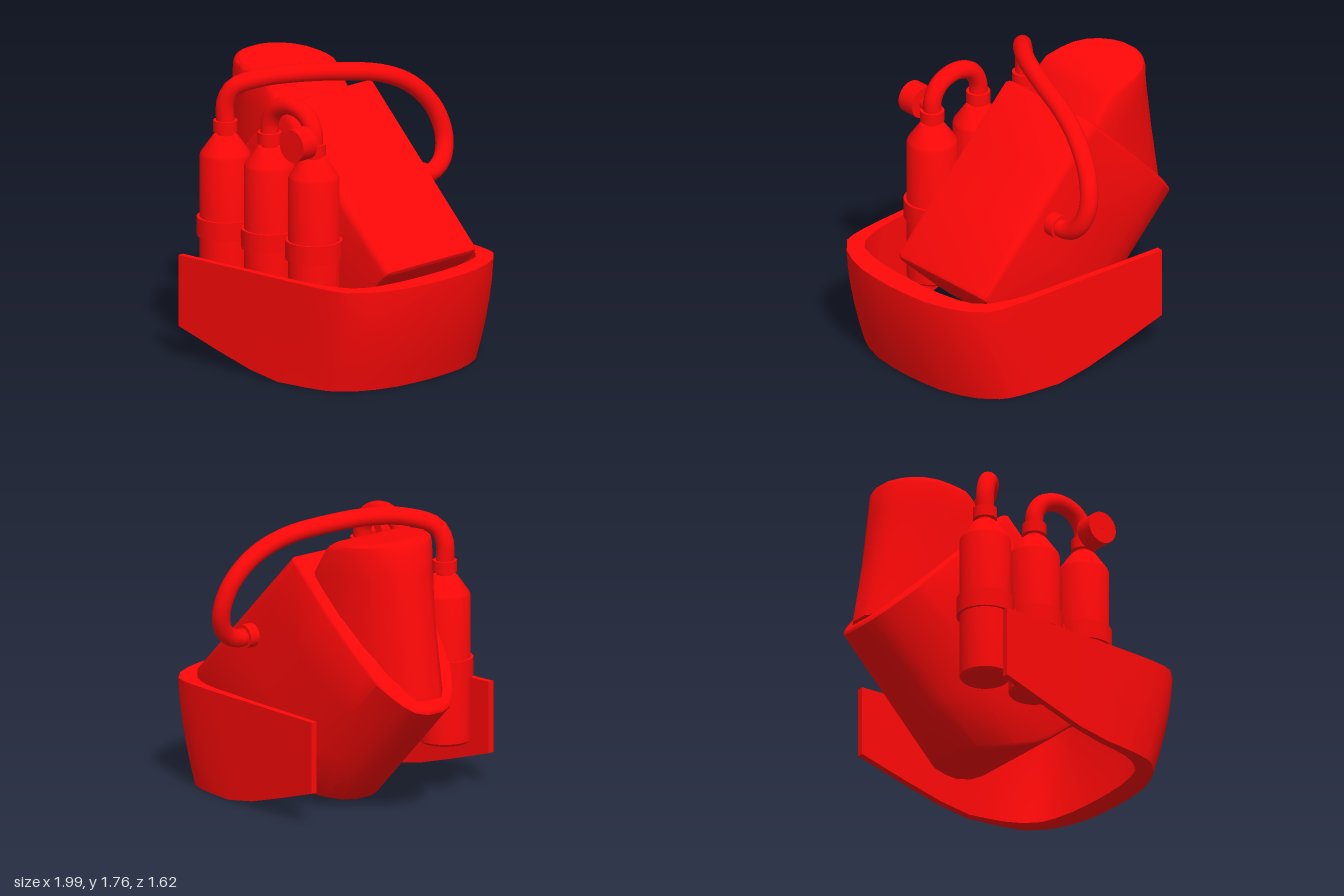
import * as THREE from 'three';
import { toCreasedNormals } from 'three/addons/utils/BufferGeometryUtils.js';

const material = new THREE.MeshStandardMaterial({ color: 0xff0808 });
const V = (x, y, z) => new THREE.Vector3(x, y, z);

// Skin a list of equal closed rings; point j of a ring faces point n-1-j, so caps are strips
function loft(rings, crease = 0.6) {
  const n = rings[0].length, last = (rings.length - 1) * n, index = [];
  const quad = (a, b, c, d) => index.push(a, b, c, a, c, d);
  for (let i = 0; i < rings.length - 1; i++) {
    for (let j = 0; j < n; j++) {
      const k = (j + 1) % n;
      quad(i * n + j, i * n + k, (i + 1) * n + k, (i + 1) * n + j);
    }
  }
  for (let j = 0; j < n / 2 - 1; j++) {
    quad(n - 1 - j, n - 2 - j, j + 1, j);
    quad(last + j, last + j + 1, last + n - 2 - j, last + n - 1 - j);
  }
  // Turn the faces outward if the enclosed volume is negative
  const pts = rings.flat();
  let volume = 0;
  for (let i = 0; i < index.length; i += 3) {
    volume += pts[index[i]].dot(pts[index[i + 1]].clone().cross(pts[index[i + 2]]));
  }
  if (volume < 0) index.reverse();
  const geo = new THREE.BufferGeometry().setFromPoints(pts);
  geo.setIndex(index);
  return toCreasedNormals(geo, crease);
}

// Mirror a half outline [t, halfWidth] into a full one, pulled in by d
function outline(half, d = 0) {
  const len = half[half.length - 1][0];
  const side = half.map(([t, w]) => [d + t * (1 - 2 * d / len), Math.max(w - d, w * 0.4)]);
  return [...side, ...side.slice().reverse().map(([t, w]) => [t, -w])];
}

export function createModel() {
  const model = new THREE.Group();
  const add = (name, geo, x = 0, y = 0, z = 0, parent = model) => {
    const mesh = new THREE.Mesh(geo, material);
    mesh.name = name;
    mesh.position.set(x, y, z);
    parent.add(mesh);
    return mesh;
  };
  const zMid = -0.07, k = Math.SQRT1_2;

  // Main body: round-ended block tilted 45 degrees, its lower end rounding into a near-level floor
  const bodyHalf = [[0, 0.06], [0.03, 0.14], [0.09, 0.2], [0.16, 0.245], [0.27, 0.3], [0.37, 0.325],
    [0.5, 0.35], [0.65, 0.366], [0.8, 0.38], [1.17, 0.392], [1.2, 0.387], [1.217, 0.372], [1.222, 0.345]];
  const bodyLength = 1.27;
  const bodyRing = ([v, d]) => outline(bodyHalf, d).map(([u, z]) => {
    const floor = 0.97 + 0.818 * u;
    const end = (bodyLength + floor - Math.hypot(bodyLength - floor, 0.16)) / 2;
    const depth = v * end / bodyLength;
    return V(-1 + (u + depth) * k, 0.7 + (u - depth) * k, zMid + z);
  });
  add('body', loft([[0, 0.025], [0.008, 0.01], [0.025, 0], [0.4, 0], [0.8, 0], [1.24, 0], [1.26, 0.008],
    [bodyLength, 0.025]].map(bodyRing)));

  // Upright pod growing out of the sloping back of the body
  const podHalf = [[0, 0.06], [0.05, 0.13], [0.15, 0.2], [0.3, 0.26], [0.5, 0.3], [0.72, 0.312],
    [0.92, 0.312], [0.97, 0.3], [1, 0.26]];
  const podRing = ([y, x0, x1, d]) => outline(podHalf).map(([t, w]) => {
    const x = x0 + d + t * (x1 - x0 - 2 * d);
    return V(x, y - 0.11 * (x + 0.79), zMid + w * (1 - d * 3));
  });
  add('pod', loft([[0.75, -0.96, 0.1, 0], [1.2, -0.88, -0.02, 0], [1.5, -0.83, -0.2, 0], [1.67, -0.802, -0.32, 0],
    [1.7, -0.797, -0.34, 0.01], [1.72, -0.79, -0.35, 0.035]].map(podRing)));

  // Wraparound bumper: [outer x, outer z, inner x, inner z, bottom y] from arm end to nose
  const stations = [[-0.52, 0.73, -0.52, 0.69, 0.2], [-0.2, 0.715, -0.2, 0.672, 0.105], [0.05, 0.7, 0.05, 0.655, 0.035],
    [0.27, 0.69, 0.25, 0.64, 0], [0.5, 0.677, 0.43, 0.625, 0], [0.63, 0.665, 0.56, 0.605, 0], [0.72, 0.65, 0.66, 0.57, 0],
    [0.79, 0.625, 0.72, 0.54, 0], [0.88, 0.53, 0.78, 0.48, 0], [0.935, 0.42, 0.815, 0.38, 0],
    [0.978, 0.28, 0.838, 0.25, 0], [0.993, 0.14, 0.848, 0.12, 0]];
  const levels = [1, 0.98, 0.8, 0.6, 0.4, 0.2, 0];
  const bumperRing = ([ox, oz, ix, iz, y0], sign) => {
    const wall = (x, z) => levels.map((f) => {
      const y = y0 + (0.64 - y0) * f;
      const lean = Math.min(Math.max((ox - 0.3) / 0.5, 0), 1) * (1 - y / 0.64) ** 1.6;
      return V(x - 0.125 * lean, y, 0.08 + sign * z * (1 - 0.04 * lean));
    });
    return [...wall(ox, oz), ...wall(ix, iz).reverse()];
  };
  add('bumper', loft([
    ...stations.map((s) => bumperRing(s, 1)),
    bumperRing([0.999, 0, 0.85, 0, 0], 1),
    ...stations.slice().reverse().map((s) => bumperRing(s, -1)),
  ]));

  // Three gas bottles with neck, cap and strap
  const tankProfile = [[0, 0.31], [0.14, 0.31], [0.154, 0.325], [0.154, 1.215], [0.147, 1.235], [0.08, 1.33],
    [0.07, 1.34], [0.045, 1.34], [0.045, 1.37], [0, 1.37]].map(([r, y]) => new THREE.Vector2(r, y));
  const tankGeo = toCreasedNormals(new THREE.LatheGeometry(tankProfile, 28), 0.5);
  const tankX = [-0.44, -0.07, 0.3], tankZ = 0.49;
  tankX.forEach((x) => {
    const tank = new THREE.Group();
    tank.name = 'tank';
    tank.position.set(x, 0, tankZ);
    model.add(tank);
    add('bottle', tankGeo, 0, 0, 0, tank);
    add('cap', new THREE.CylinderGeometry(0.073, 0.073, 0.07, 24), 0, 1.395, 0, tank);
    add('strap', new THREE.CylinderGeometry(0.172, 0.172, 0.115, 28), 0, 0.777, 0, tank);
  });
  [-0.255, 0.115].forEach((x) => add('strapLink', new THREE.BoxGeometry(0.1, 0.08, 0.08), x, 0.777, tankZ));

  // Hoses
  const hose = (name, pts, radius) => add(name, new THREE.TubeGeometry(
    new THREE.CatmullRomCurve3(pts.map((p) => V(...p))), 48, radius, 16));
  hose('longHose', [[-0.44, 1.4, 0.49], [-0.44, 1.54, 0.49], [-0.4, 1.635, 0.46], [-0.29, 1.69, 0.34],
    [-0.18, 1.705, 0.17], [-0.07, 1.685, -0.1], [0.02, 1.635, -0.38], [0.08, 1.54, -0.57], [0.13, 1.38, -0.71],
    [0.17, 1.2, -0.755], [0.2, 1.07, -0.705], [0.205, 1.01, -0.61], [0.205, 1.01, -0.5]], 0.055);
  hose('shortHose', [[-0.07, 1.4, 0.49], [-0.065, 1.5, 0.49], [-0.01, 1.585, 0.49], [0.115, 1.625, 0.49],
    [0.24, 1.585, 0.49], [0.295, 1.5, 0.49], [0.3, 1.4, 0.49]], 0.055);

  // Parts turned along z: hose fitting on the back, pressure gauge on the front
  const disc = (name, r, z0, z1, x, y) => add(name,
    new THREE.CylinderGeometry(r, r, z1 - z0, 28).rotateX(Math.PI / 2), x, y, (z0 + z1) / 2);
  disc('hoseFitting', 0.073, -0.55, -0.48, 0.205, 1.01);
  disc('fittingNeck', 0.045, -0.49, -0.44, 0.205, 1.01);
  disc('gauge', 0.1, 0.56, 0.68, 0.3, 1.45);
  disc('gaugeStem', 0.04, 0.49, 0.57, 0.3, 1.45);
  disc('gaugePin', 0.012, 0.67, 0.682, 0.3, 1.45);

  return model;
}
